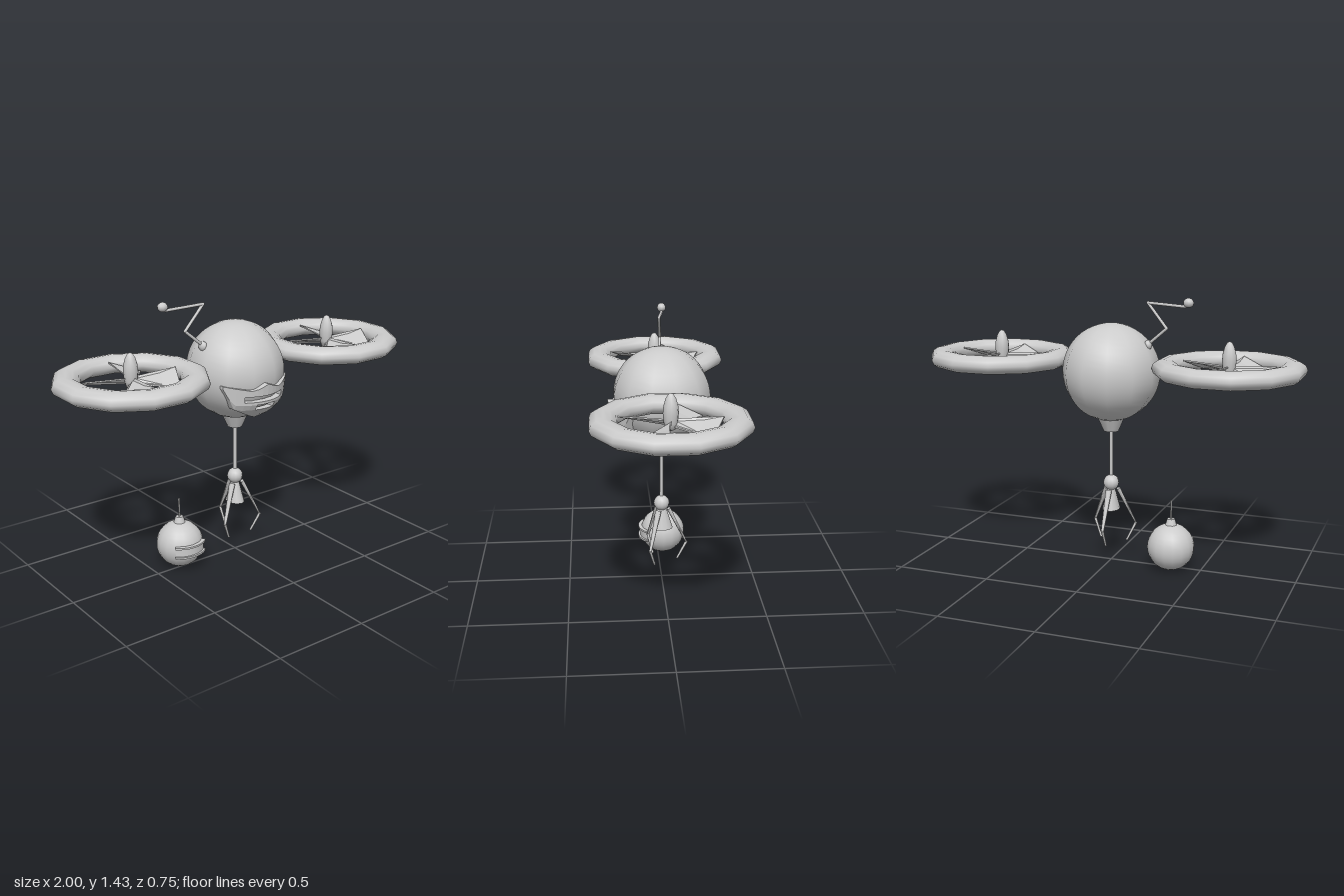
import * as THREE from 'three';

const material = new THREE.MeshStandardMaterial({ color: 0xcccccc });
const flat = new THREE.MeshStandardMaterial({ color: 0xcccccc, flatShading: true, side: THREE.DoubleSide });
const V = (x, y, z) => new THREE.Vector3(x, y, z);

function add(parent, name, geometry, x = 0, y = 0, z = 0, mat = material) {
  const mesh = new THREE.Mesh(geometry, mat);
  mesh.name = name;
  mesh.position.set(x, y, z);
  parent.add(mesh);
  return mesh;
}

// Round bar between two points, with its own radius at each end
function bar(parent, name, a, b, ra, rb = ra, sides = 8) {
  const mesh = add(parent, name, new THREE.CylinderGeometry(rb, ra, a.distanceTo(b), sides));
  mesh.position.copy(a).lerp(b, 0.5);
  mesh.quaternion.setFromUnitVectors(V(0, 1, 0), b.clone().sub(a).normalize());
  return mesh;
}

// Linear interpolation through [position, value] pairs
function curve(points, t) {
  for (let i = 1; i < points.length; i++) {
    const [a, va] = points[i - 1], [b, vb] = points[i];
    if (t <= b) return va + (vb - va) * Math.max(0, (t - a) / (b - a));
  }
  return points[points.length - 1][1];
}

// Curved jaw plate with two mouth slots, built from thick cells
function jawGeometry() {
  const top = [[0, 1.015], [0.075, 0.985], [0.2, 1.01]];
  const bottom = [[0, 0.81], [0.055, 0.835], [0.15, 0.885], [0.2, 0.995]];
  const depth = [[0.81, 0.165], [0.84, 0.21], [0.88, 0.25], [0.91, 0.268], [1.015, 0.28]];
  const half = [0, 0.03, 0.055, 0.085, 0.115, 0.15, 0.175, 0.2];
  const xs = [...half.slice(1).reverse().map(x => -x), ...half];
  const ys = [0.81, 0.84, 0.88, 0.91, 0.925, 0.955, 0.985, 1.015];
  const out = [];
  const point = (x, y, inset) => {
    const ax = Math.abs(x);
    const yy = Math.min(Math.max(y, curve(bottom, ax)), curve(top, ax));
    return [x, yy, curve(depth, yy) - 2.75 * x * x - inset];
  };
  const quad = (a, b, c, d) => out.push(...a, ...b, ...c, ...a, ...c, ...d);
  for (let i = 0; i < xs.length - 1; i++) {
    for (let j = 0; j < ys.length - 1; j++) {
      const cx = Math.abs(xs[i] + xs[i + 1]) / 2;
      if ((j === 4 && cx < 0.115) || (j === 2 && cx < 0.055)) continue;
      const ring = inset => [point(xs[i], ys[j], inset), point(xs[i + 1], ys[j], inset),
        point(xs[i + 1], ys[j + 1], inset), point(xs[i], ys[j + 1], inset)];
      const f = ring(0), b = ring(0.04);
      if (f[2][1] - f[1][1] + f[3][1] - f[0][1] < 1e-4) continue;
      quad(...f);
      for (let k = 0; k < 4; k++) quad(f[k], b[k], b[(k + 1) % 4], f[(k + 1) % 4]);
    }
  }
  const g = new THREE.BufferGeometry();
  g.setAttribute('position', new THREE.Float32BufferAttribute(out, 3));
  g.computeVertexNormals();
  return g;
}

// Pitched fan blade along +x, narrow at the hub and wide at the tip
function bladeGeometry() {
  const g = new THREE.BoxGeometry(1, 1, 1);
  const p = g.attributes.position;
  for (let i = 0; i < p.count; i++) {
    const outer = p.getX(i) > 0, side = Math.sign(p.getZ(i));
    p.setXYZ(i, outer ? 0.23 : 0.015,
      -side * (outer ? 0.028 : 0.014) + p.getY(i) * 0.008,
      side * (outer ? 0.08 : 0.01));
  }
  g.computeVertexNormals();
  return g;
}

function createRotor(x) {
  const rotor = new THREE.Group();
  rotor.name = 'rotor';
  rotor.position.set(x, 1.08, 0);
  const ringGeometry = new THREE.TorusGeometry(0.318, 0.07, 12, 12);
  ringGeometry.rotateZ(Math.PI / 12).rotateX(Math.PI / 2).scale(1, 0.68, 1);
  add(rotor, 'rotorRing', ringGeometry);
  const hub = [[0, -0.04], [0.024, -0.03], [0.032, 0], [0.037, 0.045], [0.034, 0.08], [0.024, 0.115], [0.012, 0.135], [0, 0.14]];
  add(rotor, 'rotorHub', new THREE.LatheGeometry(hub.map(([r, y]) => new THREE.Vector2(r, y)), 12));
  for (let i = 0; i < 4; i++) {
    add(rotor, 'rotorBlade', bladeGeometry(), 0, 0, 0, flat).rotation.y = (66 + 90 * i) * Math.PI / 180;
  }
  return rotor;
}

// Arc-shaped slab for the small drone's visor
function visorSlab(radius, height) {
  const s = new THREE.Shape();
  const a = Math.PI / 4.1;
  s.absarc(0, 0, radius, -Math.PI / 2 - a, -Math.PI / 2 + a, false);
  s.absarc(0, 0, 0.09, -Math.PI / 2 + a, -Math.PI / 2 - a, true);
  const g = new THREE.ExtrudeGeometry(s, { depth: height, bevelEnabled: false, curveSegments: 8 });
  return g.translate(0, 0, -height / 2).rotateX(-Math.PI / 2);
}

function createSmallDrone() {
  const drone = new THREE.Group();
  drone.name = 'smallDrone';
  drone.position.set(-0.343, 0.127, -0.028);
  add(drone, 'smallBody', new THREE.SphereGeometry(0.124, 16, 16));
  add(drone, 'smallCap', new THREE.CylinderGeometry(0.02, 0.033, 0.04, 12), 0, 0.132, 0);
  bar(drone, 'smallAntenna', V(0, 0.14, 0), V(0, 0.253, 0), 0.005);
  add(drone, 'visor', visorSlab(0.127, 0.05));
  for (const y of [-0.027, 0.027]) add(drone, 'visorRim', visorSlab(0.138, 0.01), 0, y, 0);
  return drone;
}

function createClaw() {
  const claw = new THREE.Group();
  claw.name = 'claw';
  add(claw, 'clawMount', new THREE.CylinderGeometry(0.075, 0.04, 0.08, 12), 0, 0.757, 0);
  bar(claw, 'clawRod', V(0, 0.44, 0), V(0, 0.74, 0), 0.01);
  add(claw, 'clawJoint', new THREE.SphereGeometry(0.042, 12, 10), 0, 0.435, 0);
  add(claw, 'clawBase', new THREE.CylinderGeometry(0.02, 0.06, 0.13, 12), 0, 0.355, 0).scale.x = 0.77;
  for (let i = 0; i < 3; i++) {
    const finger = new THREE.Group();
    finger.name = 'clawFinger';
    finger.rotation.y = i * Math.PI * 2 / 3;
    // Upper segment is broad across and thin from the side
    bar(finger, 'fingerUpper', V(0, 0.4, -0.038), V(0, 0.2, -0.135), 0.018, 0.008, 6).scale.z = 0.6;
    bar(finger, 'fingerTip', V(0, 0.205, -0.136), V(0, 0.107, -0.085), 0.008, 0.006, 6);
    claw.add(finger);
  }
  return claw;
}

function createAntenna() {
  const antenna = new THREE.Group();
  antenna.name = 'antenna';
  const path = [V(-0.195, 1.18, 0), V(-0.3, 1.27, -0.01), V(-0.197, 1.395, 0), V(-0.405, 1.385, -0.028)];
  for (let i = 0; i < 3; i++) bar(antenna, 'antennaRod', path[i], path[i + 1], 0.008);
  for (const p of path.slice(1, 3)) add(antenna, 'antennaElbow', new THREE.SphereGeometry(0.008, 8, 6), p.x, p.y, p.z);
  const base = add(antenna, 'antennaBase', new THREE.SphereGeometry(0.026, 10, 8), -0.2, 1.18, 0);
  base.scale.x = 0.8;
  const ball = add(antenna, 'antennaTip', new THREE.SphereGeometry(0.024, 10, 8), -0.417, 1.405, -0.027);
  ball.scale.x = 1.15;
  return antenna;
}

export function createModel() {
  const model = new THREE.Group();
  model.name = 'flyingRobot';
  const body = add(model, 'body', new THREE.SphereGeometry(0.255, 12, 24), 0, 1.03, 0);
  body.rotation.y = Math.PI / 12;
  add(model, 'jawPlate', jawGeometry(), 0, 0, 0, flat);
  for (const side of [-1, 1]) model.add(createRotor(side * 0.624));
  model.add(createAntenna(), createClaw(), createSmallDrone());
  return model;
}
